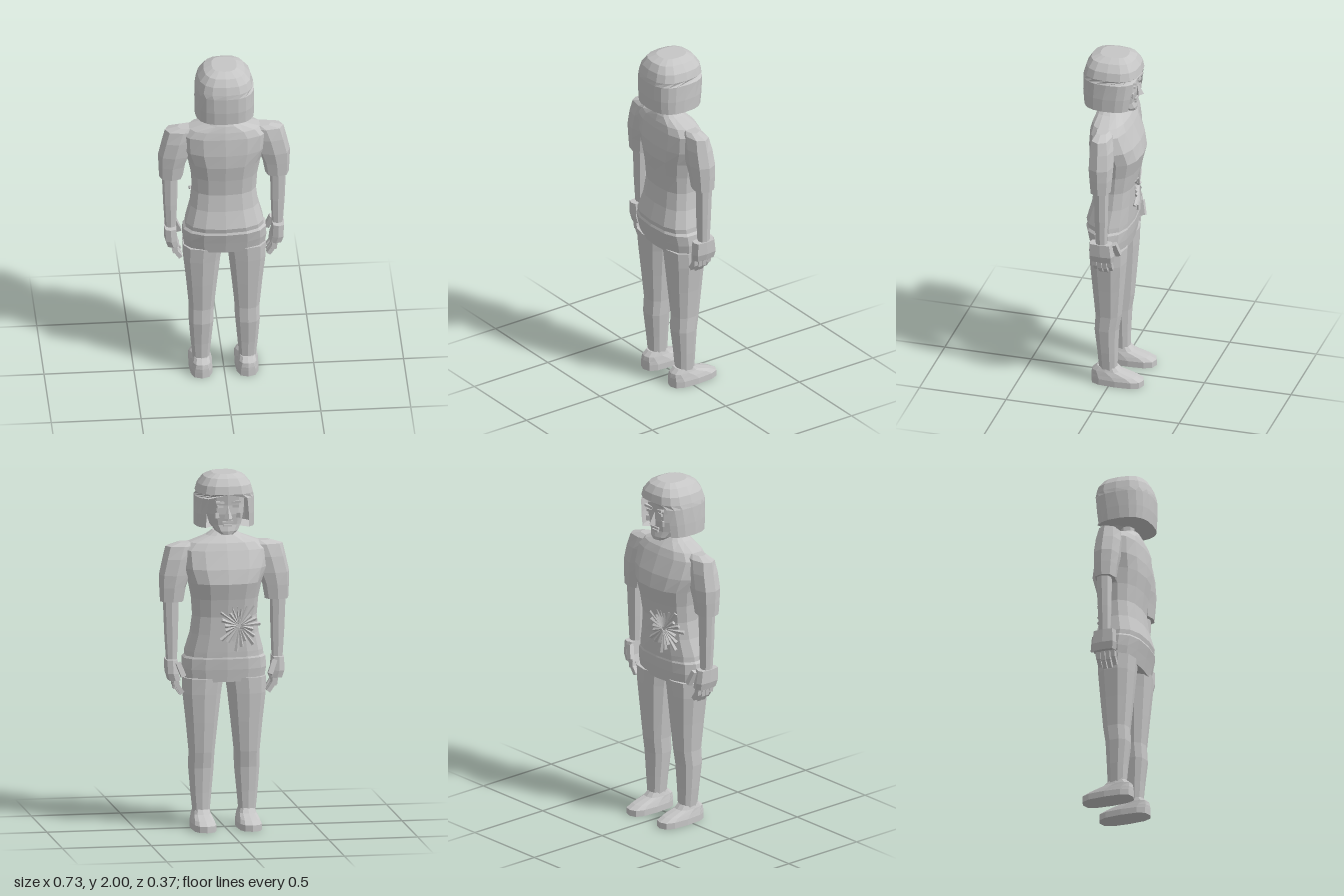
import * as THREE from 'three';

const clay = new THREE.MeshStandardMaterial({ color: 0xc6c6c6, flatShading: true, side: THREE.DoubleSide });
clay.name = 'light grey';

// Skin over stacked rings, bottom to top: [y, centreX, radiusX, zBack, zFront, frontGap]
function loft(name, rings, sides = 10, power = 0.8) {
  const pos = [], index = [], m = sides + 1;
  const curve = (v) => Math.sign(v) * Math.abs(v) ** power;
  for (const [y, cx, rx, zb, zf, gap = 0] of rings) {
    for (let i = 0; i <= sides; i++) {
      const a = -Math.PI / 2 + gap + (i / sides) * (2 * Math.PI - 2 * gap);
      pos.push(cx + rx * curve(Math.cos(a)), y, (zb + zf) / 2 + ((zb - zf) / 2) * curve(Math.sin(a)));
    }
  }
  for (let j = 0; j < rings.length - 1; j++) {
    for (let i = 0; i < sides; i++) {
      const a = j * m + i, c = a + m;
      index.push(a, c, a + 1, a + 1, c, c + 1);
    }
  }
  // end caps
  [0, rings.length - 1].forEach((j) => {
    const [y, cx, , zb, zf] = rings[j], centre = pos.length / 3;
    pos.push(cx, y, (zb + zf) / 2);
    for (let i = 0; i < sides; i++) {
      const a = j * m + i;
      index.push(centre, ...(j ? [a + 1, a] : [a, a + 1]));
    }
  });
  const g = new THREE.BufferGeometry();
  g.setAttribute('position', new THREE.Float32BufferAttribute(pos, 3));
  g.setIndex(index);
  return mesh(name, g);
}

function mesh(name, geometry, position = [0, 0, 0], rotation = [0, 0, 0]) {
  const g = geometry.index ? geometry.toNonIndexed() : geometry;
  g.computeVertexNormals();
  const part = new THREE.Mesh(g, clay);
  part.name = name;
  part.position.set(...position);
  part.rotation.set(...rotation);
  return part;
}

const box = (name, size, position, rotation) => mesh(name, new THREE.BoxGeometry(...size), position, rotation);

function makeHead() {
  const head = new THREE.Group();
  head.name = 'head';
  head.add(loft('neck', [[1.58, 0, 0.06, 0.08, -0.03], [1.66, 0, 0.045, 0.07, -0.02], [1.76, 0, 0.045, 0.07, -0.03]], 8));
  head.add(loft('face', [
    [1.665, 0, 0.035, -0.05, -0.11], [1.685, 0, 0.065, 0, -0.113], [1.72, 0, 0.09, 0.06, -0.105],
    [1.78, 0, 0.105, 0.1, -0.115], [1.83, 0, 0.11, 0.1, -0.113], [1.9, 0, 0.11, 0.1, -0.122],
  ], 12));
  // bob with an opening for the face
  head.add(loft('hair', [
    [1.705, 0, 0.165, 0.18, -0.125, 0.72], [1.78, 0, 0.166, 0.186, -0.135, 0.7], [1.87, 0, 0.164, 0.186, -0.14, 0.62],
    [1.895, 0, 0.16, 0.183, -0.14], [1.94, 0, 0.147, 0.17, -0.132], [1.98, 0, 0.115, 0.145, -0.105],
    [2, 0, 0.07, 0.095, -0.065],
  ], 16, 0.75));
  // facial features
  const nose = new THREE.ConeGeometry(0.024, 0.075, 4);
  head.add(mesh('nose', nose, [0, 1.795, -0.12], [0.2, 0, 0]));
  head.add(box('upperLip', [0.06, 0.012, 0.02], [0, 1.737, -0.105]));
  head.add(box('lowerLip', [0.045, 0.012, 0.016], [0, 1.718, -0.105]));
  for (const s of [-1, 1]) {
    head.add(box('eye', [0.036, 0.014, 0.012], [s * 0.045, 1.825, -0.109], [0, s * 0.25, 0]));
    head.add(box('brow', [0.052, 0.012, 0.018], [s * 0.047, 1.85, -0.112], [0, s * 0.25, s * 0.15]));
    head.add(box('cheek', [0.035, 0.03, 0.012], [s * 0.058, 1.775, -0.103], [0, s * 0.5, 0]));
  }
  return head;
}

function makeTorso() {
  const torso = new THREE.Group();
  torso.name = 'torso';
  torso.add(loft('shirt', [
    [0.97, 0, 0.222, 0.152, -0.098], [1.0, 0, 0.22, 0.158, -0.1], [1.1, 0, 0.192, 0.13, -0.104],
    [1.2, 0, 0.18, 0.117, -0.108], [1.3, 0, 0.187, 0.128, -0.127], [1.39, 0, 0.205, 0.142, -0.15],
    [1.47, 0, 0.235, 0.142, -0.132], [1.57, 0, 0.24, 0.132, -0.09], [1.61, 0, 0.2, 0.122, -0.07],
    [1.645, 0, 0.1, 0.11, -0.035], [1.67, 0, 0.062, 0.095, -0.01],
  ], 14));
  // raised burst of slivers on the belly
  const burst = new THREE.Group();
  burst.name = 'bellyRelief';
  const surface = (x, y) => new THREE.Vector3(x, y, -0.035 - 0.072 * Math.sqrt(Math.max(0, 1 - (x / 0.2) ** 2)));
  const up = new THREE.Vector3(0, 1, 0);
  for (let k = 0; k < 22; k++) {
    const a = (k / 22) * Math.PI * 2, r = 0.095 + 0.025 * (k % 3);
    const start = surface(-0.065 + 0.012 * Math.cos(a), 1.15 + 0.012 * Math.sin(a));
    const end = surface(-0.065 + 0.85 * r * Math.cos(a), 1.15 + r * Math.sin(a));
    const dir = end.clone().sub(start);
    const sliver = mesh('sliver', new THREE.CylinderGeometry(0.012, 0.004, dir.length(), 4));
    sliver.position.copy(start).add(end).multiplyScalar(0.5);
    sliver.quaternion.setFromUnitVectors(up, dir.normalize());
    burst.add(sliver);
  }
  torso.add(burst);
  torso.add(loft('hips', [
    [0.83, 0, 0.225, 0.125, -0.085], [0.9, 0, 0.237, 0.142, -0.095],
    [0.96, 0, 0.234, 0.158, -0.1], [0.98, 0, 0.215, 0.15, -0.095],
  ], 14));
  return torso;
}

function makeArm(s) {
  const arm = new THREE.Group();
  arm.name = s > 0 ? 'leftArm' : 'rightArm';
  arm.add(loft('sleeve', [
    [1.28, s * 0.295, 0.066, 0.07, -0.045], [1.36, s * 0.29, 0.075, 0.078, -0.052],
    [1.43, s * 0.277, 0.09, 0.085, -0.055], [1.52, s * 0.255, 0.092, 0.085, -0.05],
    [1.59, s * 0.23, 0.1, 0.075, -0.035], [1.61, s * 0.2, 0.06, 0.06, -0.01],
  ], 8));
  arm.add(loft('forearm', [
    [0.93, s * 0.297, 0.03, 0.04, -0.025], [1.1, s * 0.299, 0.039, 0.047, -0.03], [1.3, s * 0.301, 0.045, 0.05, -0.035],
  ], 8));
  arm.add(loft('palm', [
    [0.84, s * 0.285, 0.036, 0.07, -0.06], [0.88, s * 0.297, 0.036, 0.077, -0.065], [0.955, s * 0.3, 0.034, 0.075, -0.055],
  ], 8, 0.5));
  // bent fingers and thumb
  for (let i = 0; i < 4; i++) {
    const z = 0.052 - i * 0.029, drop = i === 0 || i === 3 ? 0.012 : 0;
    arm.add(box('finger', [0.03, 0.06, 0.025], [s * 0.278, 0.82 + drop, z], [0, 0, -s * 0.15]));
    arm.add(box('fingertip', [0.024, 0.05, 0.023], [s * 0.258, 0.778 + drop, z], [0, 0, -s * 0.6]));
  }
  arm.add(box('thumb', [0.028, 0.085, 0.03], [s * 0.258, 0.905, -0.066], [0.25, 0, -s * 0.35]));
  return arm;
}

function makeLeg(s) {
  const leg = new THREE.Group();
  leg.name = s > 0 ? 'leftLeg' : 'rightLeg';
  leg.add(loft('trouserLeg', [
    [0.07, s * 0.129, 0.045, 0.068, -0.035], [0.2, s * 0.13, 0.058, 0.078, -0.038],
    [0.34, s * 0.129, 0.07, 0.094, -0.045], [0.43, s * 0.127, 0.071, 0.09, -0.06],
    [0.6, s * 0.126, 0.088, 0.106, -0.075], [0.76, s * 0.126, 0.106, 0.12, -0.087],
    [0.85, s * 0.12, 0.114, 0.126, -0.09],
  ], 10));
  leg.add(loft('shoe', [
    [0, s * 0.128, 0.066, 0.115, -0.187], [0.035, s * 0.128, 0.066, 0.115, -0.187],
    [0.055, s * 0.128, 0.06, 0.114, -0.145], [0.08, s * 0.128, 0.052, 0.108, -0.06],
    [0.105, s * 0.128, 0.044, 0.08, -0.035],
  ], 12, 0.7));
  return leg;
}

export function createModel() {
  const figure = new THREE.Group();
  figure.name = 'standingFigure';
  figure.add(makeHead(), makeTorso());
  for (const s of [-1, 1]) figure.add(makeArm(s), makeLeg(s));
  return figure;
}
